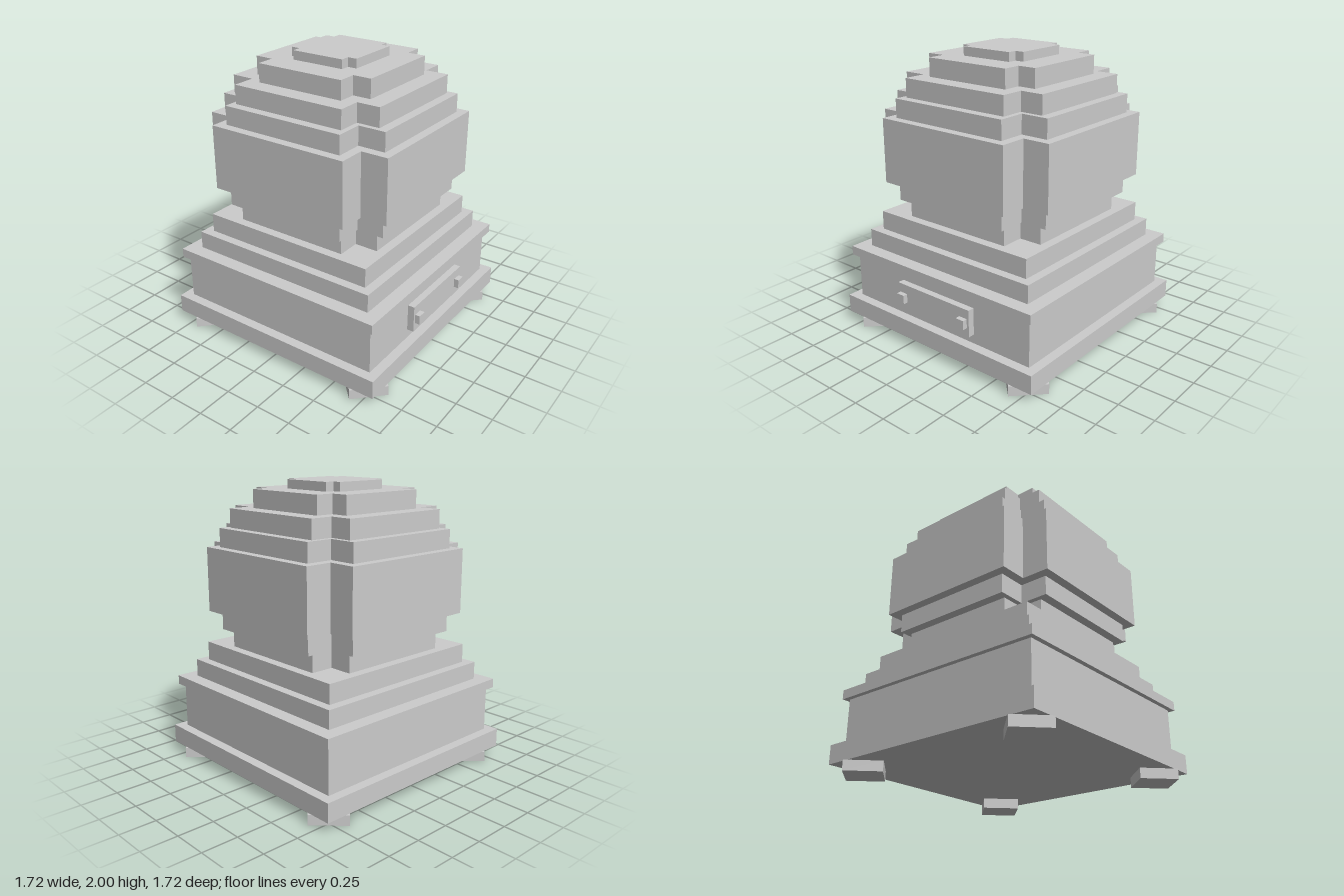
import * as THREE from 'three';

export function createModel() {
  const model = new THREE.Group();
  model.name = 'steppedDome';
  const stone = new THREE.MeshStandardMaterial({ color: 0xcccccc });
  stone.name = 'pale grey stone';

  function add(name, geometry, x = 0, y = 0, z = 0) {
    const mesh = new THREE.Mesh(geometry, stone);
    mesh.name = name;
    mesh.position.set(x, y, z);
    model.add(mesh);
    return mesh;
  }

  // Square slab from y0 to y1 with half width h
  function slab(name, h, y0, y1) {
    add(name, new THREE.BoxGeometry(2 * h, y1 - y0, 2 * h), 0, (y0 + y1) / 2, 0);
  }

  // Square tier with notched corners: a = outer half width, b = arm half width
  function notchedTier(name, a, b, y0, y1) {
    const points = [
      [a, -b], [a, b], [b, b], [b, a], [-b, a], [-b, b],
      [-a, b], [-a, -b], [-b, -b], [-b, -a], [b, -a], [b, -b],
    ].map(([x, y]) => new THREE.Vector2(x, y));
    const geometry = new THREE.ExtrudeGeometry(new THREE.Shape(points), {
      depth: y1 - y0, bevelEnabled: false,
    });
    geometry.rotateX(-Math.PI / 2);
    add(name, geometry, 0, y0, 0);
  }

  // Pedestal
  slab('basePlinth', 0.84, 0.07, 0.2);
  slab('pedestalBody', 0.773, 0.2, 0.52);
  slab('pedestalCornice', 0.807, 0.52, 0.585);
  slab('lowerStep', 0.708, 0.585, 0.71);
  slab('upperStep', 0.645, 0.71, 0.843);

  // Stepped dome
  const tiers = [
    ['neck', 0.58, 0.417, 0.843, 0.973],
    ['domeUnderside', 0.645, 0.452, 0.973, 1.103],
    ['domeBelly', 0.708, 0.517, 1.103, 1.55],
    ['domeShoulder', 0.645, 0.452, 1.55, 1.68],
    ['domeUpper', 0.58, 0.417, 1.68, 1.81],
    ['domeCrown', 0.452, 0.323, 1.81, 1.938],
    ['domeCap', 0.257, 0.193, 1.938, 2.0],
  ];
  for (const tier of tiers) notchedTier(...tier);

  // Front plaque with two square studs
  add('plaque', new THREE.BoxGeometry(0.644, 0.19, 0.052), 0, 0.36, 0.794);
  for (const side of [-1, 1]) {
    add(side > 0 ? 'leftStud' : 'rightStud',
      new THREE.BoxGeometry(0.064, 0.064, 0.04), side * 0.273, 0.358, 0.834);
  }

  // Feet turned diagonally under each corner
  for (const sx of [-1, 1]) {
    for (const sz of [-1, 1]) {
      const foot = add(`${sz > 0 ? 'front' : 'back'}${sx > 0 ? 'Left' : 'Right'}Foot`,
        new THREE.BoxGeometry(0.256, 0.07, 0.256), sx * 0.677, 0.035, sz * 0.677);
      foot.rotation.y = Math.PI / 4;
    }
  }

  return model;
}
